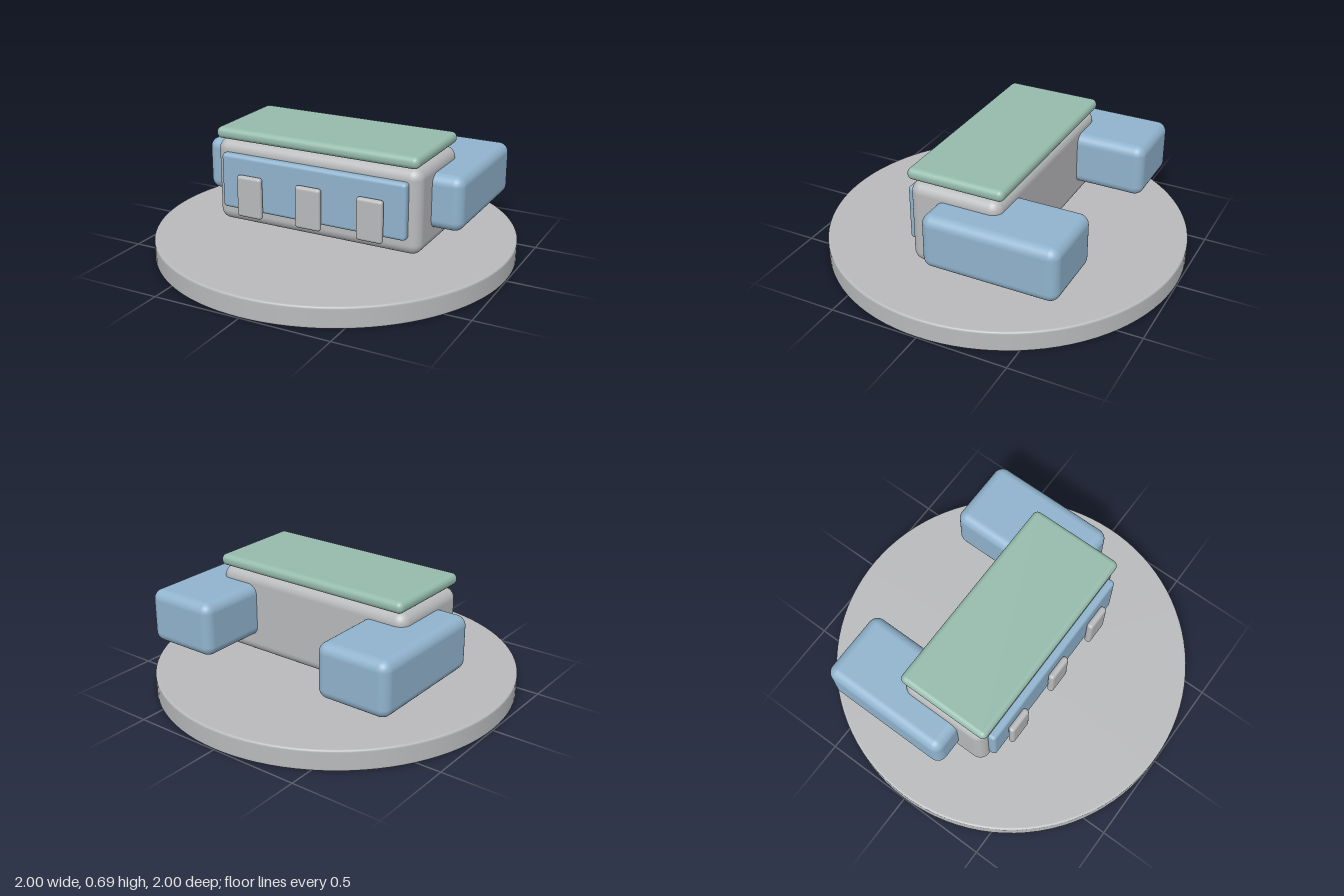
import * as THREE from 'three';
import { RoundedBoxGeometry } from 'three/addons/geometries/RoundedBoxGeometry.js';

const material = (name, color) => {
  const m = new THREE.MeshStandardMaterial({ color });
  m.name = name;
  return m;
};

// Rounded box given by its extents on each axis
function block(name, [x0, x1], [y0, y1], [z0, z1], radius, mat) {
  const geo = new RoundedBoxGeometry(x1 - x0, y1 - y0, z1 - z0, 5, radius);
  const mesh = new THREE.Mesh(geo, mat);
  mesh.position.set((x0 + x1) / 2, (y0 + y1) / 2, (z0 + z1) / 2);
  mesh.name = name;
  return mesh;
}

export function createModel() {
  const grey = material('stone grey', 0xb9babc);
  const blue = material('soft blue', 0x90b3cd);
  const green = material('sage green', 0x95bbac);
  const model = new THREE.Group();
  model.name = 'building';

  // Round base disc with a softened rim
  const h = 0.115, r = 0.01;
  const profile = [new THREE.Vector2(0, 0), new THREE.Vector2(0.985, 0)];
  for (let i = 0; i <= 4; i++) {
    const a = -Math.PI / 2 + (i * Math.PI) / 8;
    profile.push(new THREE.Vector2(1 - r + r * Math.cos(a), r + r * Math.sin(a)));
  }
  profile.push(new THREE.Vector2(1, 0.015), new THREE.Vector2(1, h - 0.015));
  for (let i = 0; i <= 4; i++) {
    const a = (i * Math.PI) / 8;
    profile.push(new THREE.Vector2(1 - r + r * Math.cos(a), h - r + r * Math.sin(a)));
  }
  profile.push(new THREE.Vector2(0.985, h), new THREE.Vector2(0, h));
  const base = new THREE.Mesh(new THREE.LatheGeometry(profile, 96), grey);
  base.name = 'baseDisc';
  model.add(base);

  // Main hall, roof slab and front panel
  model.add(block('mainHall', [-0.61, 0.61], [0.145, 0.615], [-0.257, 0.257], 0.06, grey));
  model.add(block('roof', [-0.6, 0.6], [0.62, 0.685], [-0.272, 0.272], 0.03, green));
  model.add(block('frontPanel', [-0.55, 0.55], [0.24, 0.55], [0.24, 0.297], 0.02, blue));

  // Side wings reaching to the back
  for (const s of [-1, 1]) {
    const xs = [s * 0.355, s * 0.775].sort((a, b) => a - b);
    model.add(block(s > 0 ? 'leftWing' : 'rightWing', xs, [0.25, 0.55], [-0.645, 0.1], 0.055, blue));
  }

  // Row of front pillars
  for (const x of [-0.36, 0, 0.36]) {
    model.add(block('frontPillar', [x - 0.075, x + 0.075], [0.215, 0.45], [0.296, 0.334], 0.017, grey));
  }
  return model;
}
